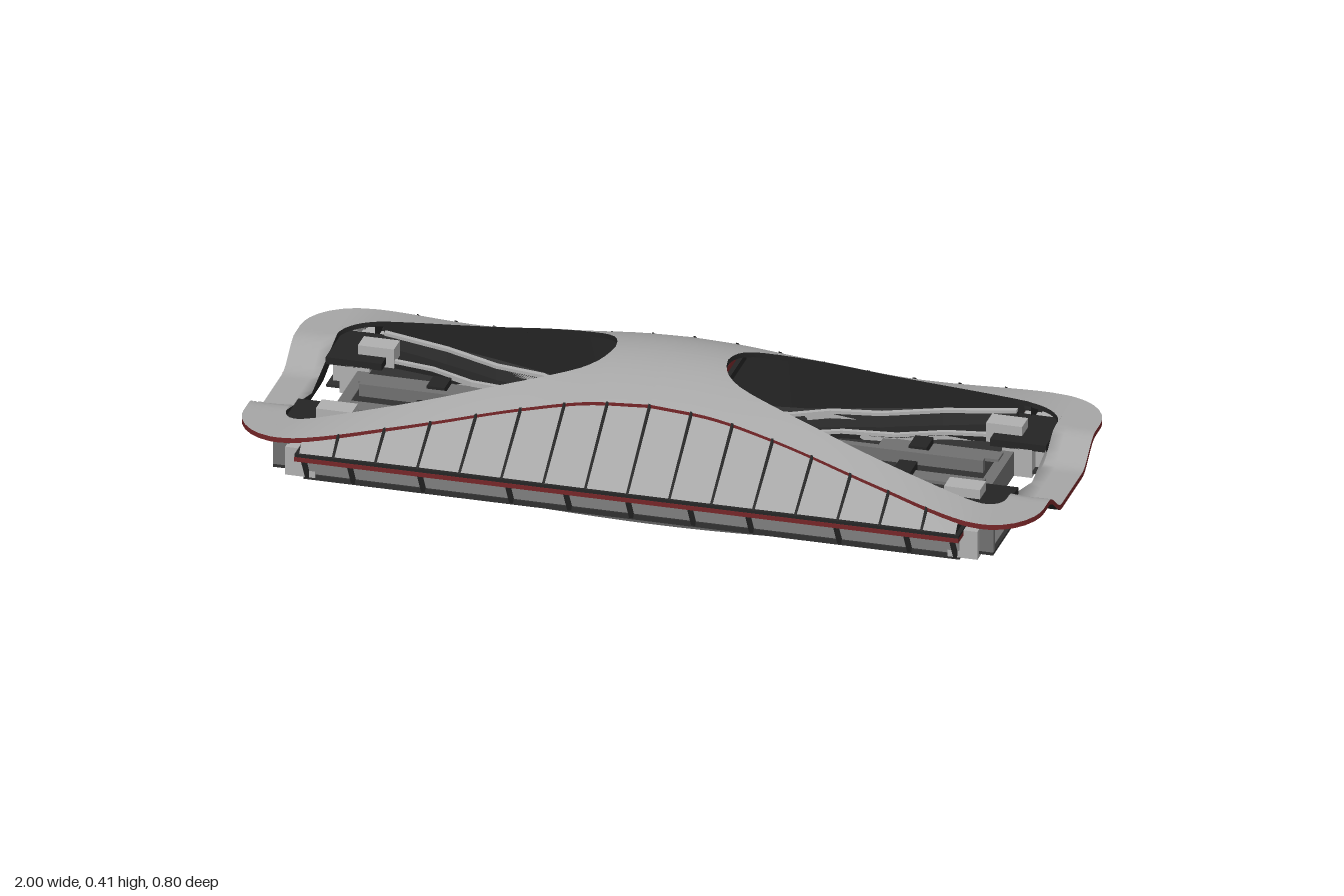
import * as THREE from 'three';

const mat = (name, color) => new THREE.MeshStandardMaterial({ name, color, side: THREE.DoubleSide });

// Smooth lookup through a short list of [x, value]
function curve(points) {
  const slope = points.map((p, i) => {
    const a = points[Math.max(i - 1, 0)], b = points[Math.min(i + 1, points.length - 1)];
    return (b[1] - a[1]) / (b[0] - a[0]);
  });
  return (x) => {
    if (x <= points[0][0]) return points[0][1];
    for (let i = 0; i < points.length - 1; i++) {
      const [x0, y0] = points[i], [x1, y1] = points[i + 1];
      if (x > x1) continue;
      const h = x1 - x0, t = (x - x0) / h, s = t * t * (3 - 2 * t);
      return y0 + (y1 - y0) * s + h * t * (1 - t) * ((1 - t) * slope[i] - t * slope[i + 1]);
    }
    return points[points.length - 1][1];
  };
}

// Sheet over a list of x stations and n steps across
function sheet(xs, n, f) {
  const pos = [], index = [];
  xs.forEach((x, i) => {
    for (let j = 0; j <= n; j++) {
      pos.push(...f(x, j / n));
      if (i && j) {
        const d = i * (n + 1) + j, c = d - 1, b = d - n - 1, a = b - 1;
        index.push(a, b, d, a, d, c);
      }
    }
  });
  const g = new THREE.BufferGeometry();
  g.setAttribute('position', new THREE.Float32BufferAttribute(pos, 3));
  g.setIndex(index);
  g.computeVertexNormals();
  return g;
}

const range = (a, b, n) => Array.from({ length: n + 1 }, (_, i) => a + (b - a) * i / n);
const both = (xs) => [...xs.slice().reverse().map((x) => -x), ...xs];
const sstep = THREE.MathUtils.smoothstep;

// Cover plan: outer edge, opening edge, and height
const outerLine = curve([[0, 0.195], [0.2, 0.205], [0.4, 0.24], [0.6, 0.3], [0.75, 0.352], [0.83, 0.373], [0.87, 0.375]]);
const holeLine = curve([[0.14, 0], [0.145, 0.03], [0.16, 0.065], [0.2, 0.1], [0.3, 0.14], [0.4, 0.17], [0.6, 0.228], [0.8, 0.278], [0.84, 0.28]]);
const crown = curve([[0, 0.415], [0.1, 0.413], [0.2, 0.405], [0.39, 0.388], [0.58, 0.345], [0.8, 0.28], [0.9, 0.243], [1, 0.24]]);
const edgeHeight = curve([[0, 0.362], [0.15, 0.352], [0.31, 0.324], [0.5, 0.288], [0.68, 0.262], [0.82, 0.246], [0.9, 0.241], [1, 0.24]]);
const outer = (x) => {
  x = Math.abs(x);
  return x < 0.87 ? outerLine(x) : 0.245 + Math.sqrt(Math.max(0, 0.0169 - (x - 0.87) ** 2));
};
const hole = (x) => {
  x = Math.abs(x);
  if (x <= 0.14 || x >= 0.9) return 0;
  return x < 0.84 ? Math.max(0, holeLine(x)) : 0.22 + Math.sqrt(Math.max(0, 0.0036 - (x - 0.84) ** 2));
};
const height = (x, z) => {
  x = Math.abs(x); z = Math.abs(z);
  const dip = 0.058 * sstep(x, 0.82, 0.9) * (1 - sstep(z, 0.09, 0.2));
  return crown(x) - (crown(x) - edgeHeight(x)) * Math.min(1, (z / outerLine(x)) ** 2) - dip;
};
const T = 0.013;

export function createModel() {
  const root = new THREE.Group();
  const M = {
    shell: mat('coverGrey', 0xa6a6a6), red: mat('edgeRed', 0x762628),
    black: mat('liningBlack', 0x242424), dark: mat('darkGrey', 0x303030), mid: mat('midGrey', 0x707070),
    belly: mat('bellyGrey', 0x585858), light: mat('frameGrey', 0xb0b0b0),
  };
  const add = (name, geo, m) => {
    const mesh = new THREE.Mesh(geo, m);
    mesh.name = name;
    root.add(mesh);
    return mesh;
  };
  // Box from min and max corners
  const box = (name, m, x0, x1, y0, y1, z0, z1) =>
    add(name, new THREE.BoxGeometry(Math.abs(x1 - x0), y1 - y0, Math.abs(z1 - z0))
      .translate((x0 + x1) / 2, (y0 + y1) / 2, (z0 + z1) / 2), m);
  const outline = (pts) => new THREE.Shape(pts.map((p) => new THREE.Vector2(...p)));
  // Flat outline in x and z, extruded down from the top height
  const slab = (name, m, pts, top, depth) =>
    add(name, new THREE.ExtrudeGeometry(outline(pts), { depth, bevelEnabled: false })
      .rotateX(Math.PI / 2).translate(0, top, 0), m);
  // Outline in z and y, standing across the body at x
  const bulkhead = (name, m, pts, x) =>
    add(name, new THREE.ShapeGeometry(outline(pts)).rotateY(-Math.PI / 2).translate(x, 0, 0), m);

  const arc = [0.15, 0.3, 0.45, 0.6, 0.75, 0.88, 0.96].map((t) => Math.sin(t * Math.PI / 2));
  const coverXs = both([0, 0.05, 0.1, 0.14, 0.1415, 0.145, 0.152, 0.162, 0.18, ...range(0.2, 0.84, 20),
    ...arc.map((s) => 0.84 + 0.06 * s), 0.8999, 0.9, ...arc.map((s) => 0.87 + 0.13 * s).filter((x) => x > 0.901), 1].sort((a, b) => a - b));
  const bodyXs = range(-0.82, 0.82, 48);

  for (const s of [1, -1]) {
    // Arched cover with thin coloured edge
    const cover = (drop) => (x, v) => {
      const z = hole(x) + (outer(x) - hole(x)) * v;
      return [x, height(x, z) - drop, s * z];
    };
    add('cover', sheet(coverXs, 18, cover(0)), M.shell);
    add('coverLining', sheet(coverXs, 18, cover(T)), M.black);
    add('coverOuterEdge', sheet(coverXs, 1, (x, v) => [x, height(x, outer(x)) - T * v, s * outer(x)]), M.red);
    for (const e of [1, -1]) {
      const xs = coverXs.filter((x) => x * e >= 0.14 && x * e <= 0.9);
      add('openingEdge', sheet(xs, 1, (x, v) => [x, height(x, hole(x)) - T * v, s * hole(x)]), M.black);
    }

    // Sloped side panels divided by slender ribs, taller towards the cover
    const panel = (x, v, lift = 0) => {
      const z0 = outer(x) - 0.004, y0 = height(x, z0) - 0.008;
      return [x, y0 + (0.21 - y0) * v + lift, s * (z0 + (0.394 - z0) * v + lift * 0.6)];
    };
    add('sidePanel', sheet(bodyXs, 6, (x, v) => panel(x, v)), M.shell);
    for (let k = 0; k < 15; k++) {
      const x = -0.735 + 0.105 * k;
      add('panelRib', sheet([x - 0.003, x - 0.0025, x + 0.0025, x + 0.003], 6,
        (u, v) => panel(u, v, Math.abs(u - x) < 0.0028 ? 0.009 - 0.006 * v : -0.002)), M.dark);
    }

    // Lower rim
    box('rim', M.black, -0.83, 0.83, 0.207, 0.214, s * 0.33, s * 0.398);
    box('rimEdge', M.red, -0.83, 0.83, 0.196, 0.207, s * 0.33, s * 0.4);

    // Slanted skirt with uprights and closed ends
    const skirtZ = (y) => 0.35 + (y - 0.135) * 0.6;
    add('skirt', sheet([-0.82, 0.82], 1, (x, v) => [x, 0.135 + 0.062 * v, s * (skirtZ(0.135 + 0.062 * v) - 0.006)]), M.light);
    box('skirtFoot', M.dark, -0.82, 0.82, 0.13, 0.143, s * 0.29, s * 0.354);
    for (const x of [-0.81, -0.695, -0.52, -0.3, -0.155, 0, 0.155, 0.3, 0.52, 0.695, 0.81])
      add('skirtPost', sheet([x - 0.005, x - 0.0045, x + 0.0045, x + 0.005], 1, (u, v) => {
        const y = 0.135 + 0.062 * v;
        return [u, y, s * (skirtZ(y) + (Math.abs(u - x) < 0.0048 ? 0.008 : -0.007))];
      }), M.dark);
    for (const x of [-0.82, 0.82]) {
      bulkhead('skirtEnd', M.light, [[s * 0.3, 0.14], [s * 0.345, 0.14], [s * 0.384, 0.197], [s * 0.3, 0.197]], x);
      bulkhead('panelEnd', M.black, [[s * 0.27, 0.205], [s * 0.388, 0.212], [s * 0.366, 0.238], [s * 0.27, 0.25]], x);
    }

    // Inner walls below the cover
    add('innerWall', sheet(range(-0.8, 0.8, 40), 2, (x, v) => {
      const z = Math.max(0.127, hole(x) + 0.003), y = height(x, z) - T;
      return [x, y + (0.195 - y) * v, s * z];
    }), M.black);
  }
  // Bridge filling under the crown
  box('ceiling', M.black, -0.15, 0.15, 0.356, 0.374, -0.13, 0.13);
  box('ceilingTrim', M.red, -0.138, 0.138, 0.374, 0.389, -0.1, 0.1);
  box('ceilingCore', M.black, -0.137, 0.137, 0.389, 0.401, -0.05, 0.05);
  for (const e of [1, -1])
    add('coverEndEdge', sheet(range(-0.245, 0.245, 28), 1, (z, v) => [e, height(1, z) - T * v, z]), M.red);

  // Hull: two sloped sides, raised keel edges and a recessed belly
  const keel = (x) => {
    const y = 0.135 * (Math.hypot(x, 0.3) - 0.3) / (Math.hypot(0.81, 0.3) - 0.3);
    return { y, z: 0.105 + 0.205 * y / 0.135, fade: 1 - y / 0.135 };
  };
  const hullXs = range(-0.81, 0.81, 44);
  for (const s of [1, -1]) {
    add('hullSide', sheet(hullXs, 4, (x, v) => {
      const k = keel(x);
      return [x, 0.135 + (k.y - 0.135) * v, s * (0.315 + (k.z - 0.315) * v - 0.03 * k.fade * v * (1 - v))];
    }), M.shell);
    add('keelEdge', sheet(hullXs, 1, (x, v) => {
      const k = keel(x);
      return [x, k.y + 0.027 * k.fade * v, s * (k.z - 0.045 * v)];
    }), M.dark);
  }
  add('belly', sheet(hullXs, 2, (x, v) => {
    const k = keel(x);
    return [x, k.y + 0.027 * k.fade, (k.z - 0.045) * (2 * v - 1)];
  }), M.belly);
  box('floor', M.dark, -0.81, 0.81, 0.136, 0.198, -0.33, 0.33);

  // Mechanism inside each opening
  const railA = [[0.17, 0.065], [0.27, 0.075], [0.36, 0.122], [0.48, 0.142], [0.62, 0.2], [0.79, 0.246]];
  const railB = [[0.16, 0.03], [0.29, 0.036], [0.4, 0.083], [0.53, 0.098], [0.64, 0.145], [0.76, 0.165]];
  for (const e of [1, -1]) {
    for (const s of [1, -1]) {
      const flip = (pts) => pts.map(([x, z]) => [e * x, s * z]);
      const strip = (pts, w) => flip([...pts, ...pts.slice().reverse().map(([x, z]) => [x, z + w])]);
      slab('upperStep', M.dark, flip([...railA, [0.79, 0.27], [0.5, 0.195], [0.3, 0.135], [0.17, 0.12]]), 0.24, 0.045);
      slab('lowerStep', M.black, flip([...railB, [0.78, 0.25], [0.48, 0.145], [0.27, 0.08], [0.16, 0.075]]), 0.21, 0.02);
      slab('upperRail', M.light, strip(railA, 0.014), 0.248, 0.02);
      slab('lowerRail', M.light, strip(railB, 0.012), 0.218, 0.02);
      box('floorStrip', M.mid, e * 0.5, e * 0.8, 0.198, 0.206, s * 0.055, s * 0.1);
      box('floorClamp', M.black, e * 0.58, e * 0.625, 0.2, 0.222, s * 0.04, s * 0.1);

      // End housings with corner pads
      box('endHousing', M.light, e * 0.79, e * 0.865, 0.136, 0.21, s * 0.12, s * 0.355);
      box('endPlate', M.light, e * 0.86, e * 0.89, 0.15, 0.205, s * 0.15, s * 0.325);
      box('endLedge', M.dark, e * 0.8, e * 0.9, 0.145, 0.152, s * 0.125, s * 0.34);
      box('endPost', M.mid, e * 0.86, e * 0.9, 0.15, 0.215, s * 0.325, s * 0.338);
      box('cornerBlock', M.black, e * 0.76, e * 0.9, 0.208, 0.226, s * 0.12, s * 0.28);
      box('cornerPad', M.light, e * 0.74, e * 0.83, 0.2, 0.25, s * 0.157, s * 0.21);
    }
    box('centreRail', M.mid, e * 0.16, e * 0.78, 0.19, 0.23, -0.01, 0.01);
    box('endWall', M.mid, e * 0.79, e * 0.82, 0.136, 0.2, -0.12, 0.12);
  }
  return root;
}
